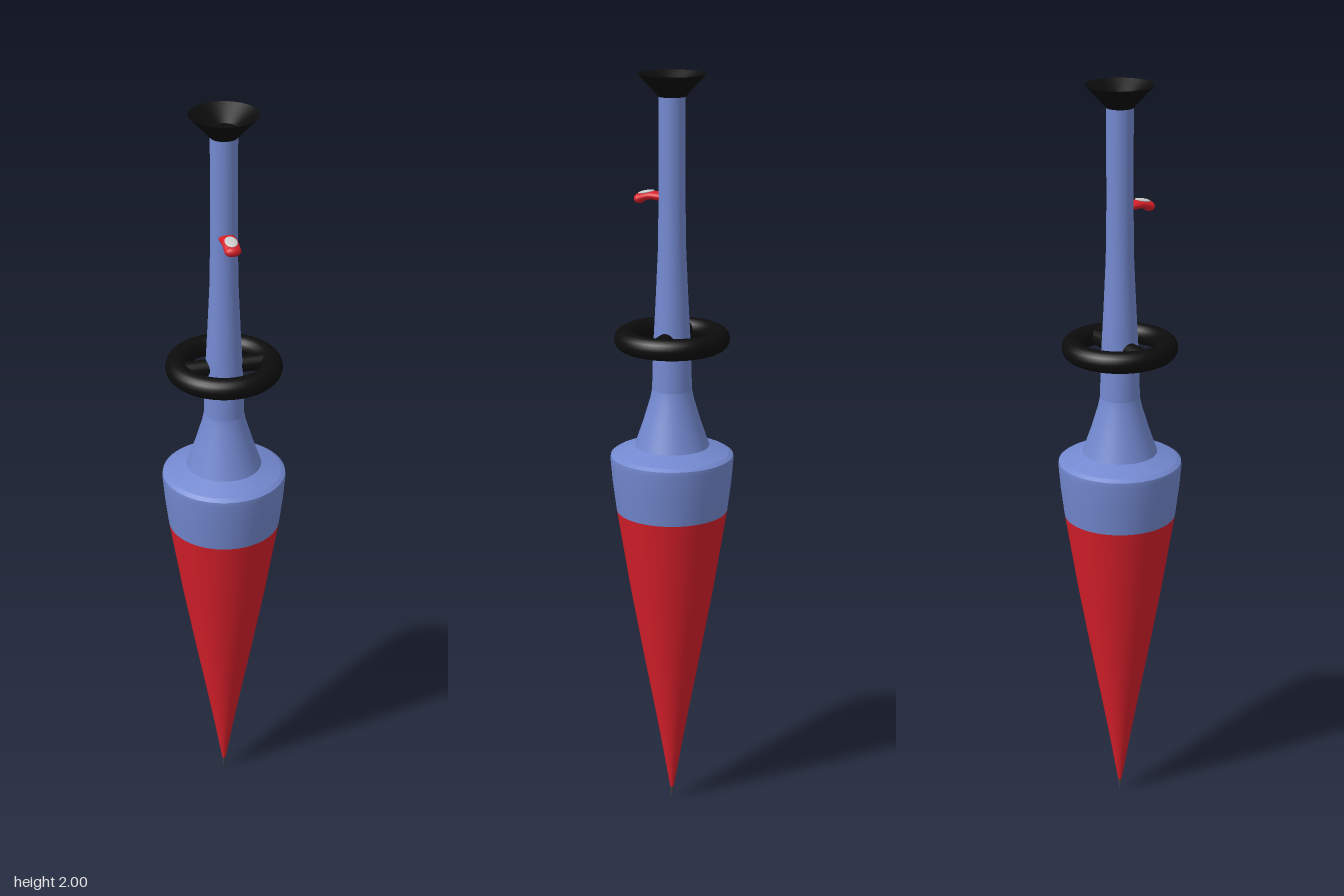
import * as THREE from 'three';

const paint = (color) => new THREE.MeshStandardMaterial({ color, side: THREE.DoubleSide });

export function createModel() {
  const group = new THREE.Group();
  const blue = paint(0x7389d0), red = paint(0xd81f2a), black = paint(0x0c0c0c);
  const white = paint(0xf0f0f0), steel = paint(0x444444);

  const add = (name, geometry, material) => {
    const mesh = new THREE.Mesh(geometry, material);
    mesh.name = name;
    group.add(mesh);
    return mesh;
  };
  // Turned part; each profile is a smooth run of [radius, height], bottom to top
  const turn = (name, profile, material) =>
    add(name, new THREE.LatheGeometry(profile.map(([r, y]) => new THREE.Vector2(r, y)), 48), material);

  // Pointed body
  turn('tip', [[0, 0], [0.002, 0.015], [0.005, 0.04]], steel);
  turn('cone', [[0.005, 0.04], [0.032, 0.2], [0.052, 0.31], [0.078, 0.45], [0.112, 0.64], [0.147, 0.86]], red);
  turn('collar', [[0.147, 0.86], [0.157, 0.94], [0.162, 1.0], [0.161, 1.012]], blue);
  turn('collarRim', [[0.161, 1.012], [0.15, 1.019]], blue);
  turn('shoulder', [[0.15, 1.019], [0.098, 1.038]], blue);

  // Stem
  turn('stemFlare', [[0.098, 1.038], [0.075, 1.105], [0.057, 1.165], [0.052, 1.19]], blue);
  turn('stem', [[0.052, 1.19], [0.049, 1.3], [0.042, 1.43], [0.036, 1.56], [0.034, 1.7], [0.034, 1.95]], blue);

  // Flared, dished end cap
  turn('capSide', [[0, 1.944], [0.034, 1.944], [0.086, 2]], black);
  turn('capDish', [[0.086, 2], [0.033, 1.965]], black);
  turn('capFloor', [[0.033, 1.965], [0, 1.965]], black);

  // Hand ring with a spoke on each side
  const ring = add('ring', new THREE.TorusGeometry(0.122, 0.028, 20, 56), black);
  ring.rotation.x = Math.PI / 2;
  ring.position.y = 1.325;
  for (const side of [-1, 1]) {
    const spoke = add(side > 0 ? 'leftSpoke' : 'rightSpoke',
      new THREE.CylinderGeometry(0.022, 0.022, 0.08, 20), black);
    spoke.rotation.z = Math.PI / 2;
    spoke.position.set(side * 0.078, 1.325, 0);
  }

  // Small curved trigger on the front, wider than tall
  const path = new THREE.CatmullRomCurve3([
    new THREE.Vector3(0, 1.692, 0.025), new THREE.Vector3(0, 1.693, 0.06), new THREE.Vector3(0, 1.684, 0.09),
  ]);
  const tab = new THREE.TubeGeometry(path, 12, 0.011, 16);
  tab.scale(1.9, 1, 1);
  add('trigger', tab, red);
  const end = add('triggerEnd', new THREE.SphereGeometry(1, 20, 14), red);
  end.scale.set(0.021, 0.013, 0.014);
  end.position.set(0, 1.684, 0.088);
  const inlay = add('triggerInlay', new THREE.SphereGeometry(1, 20, 12), white);
  inlay.scale.set(0.016, 0.004, 0.022);
  inlay.position.set(0, 1.7015, 0.07);
  inlay.rotation.x = 0.2;

  return group;
}
